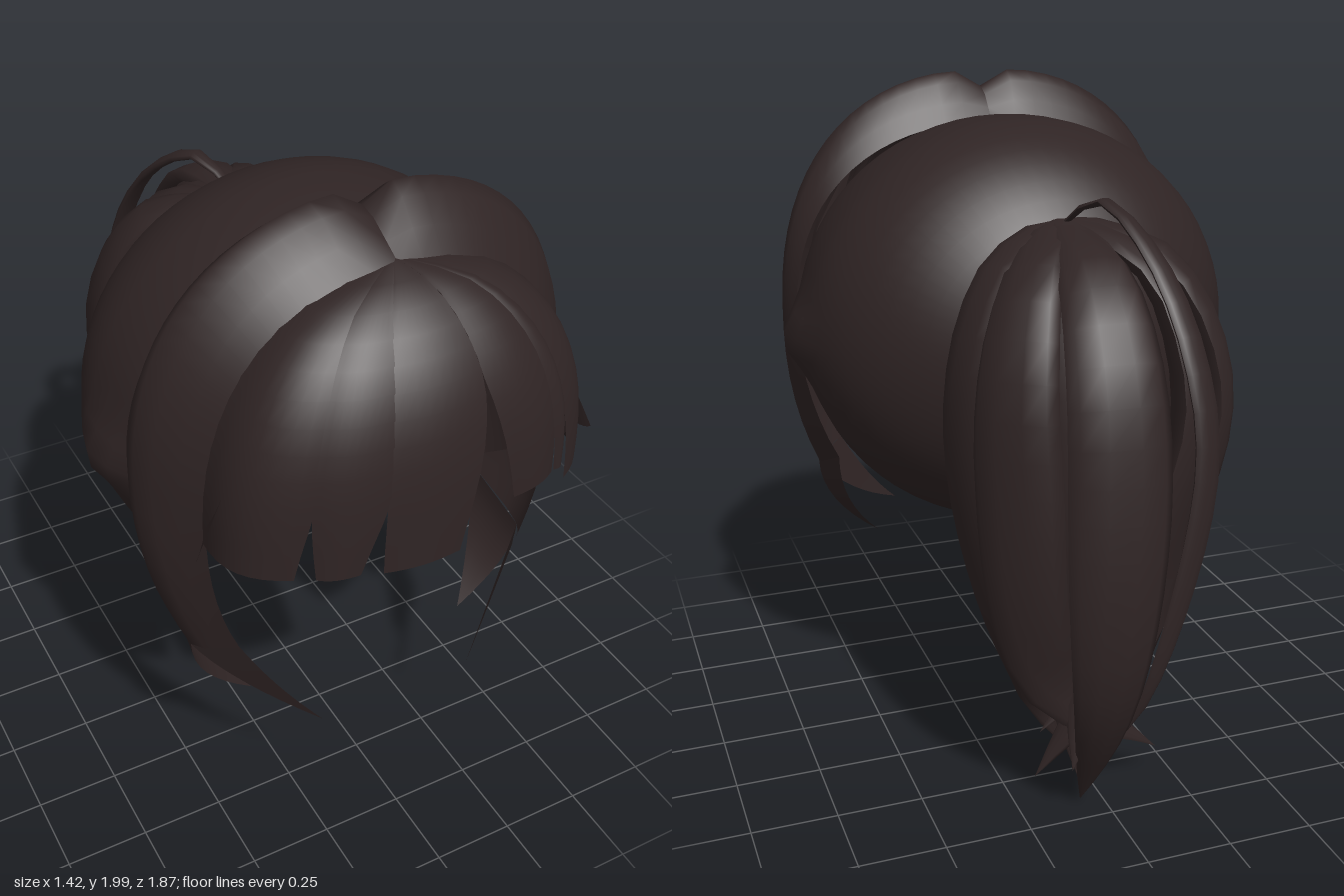
import * as THREE from 'three';

const hair = new THREE.MeshStandardMaterial({ color: 0x2f2424, side: THREE.DoubleSide });
hair.name = 'darkBrownHair';

const { lerp, clamp } = THREE.MathUtils;
const V = (x, y, z) => new THREE.Vector3(x, y, z);
const range = (n, f) => Array.from({ length: n + 1 }, (_, i) => f(i / n));

// Skin a grid of points: rows of equal length, each an array of Vector3
function skin(name, rows) {
  const n = rows[0].length, index = [];
  for (let i = 0; i < rows.length - 1; i++)
    for (let j = 0; j < n - 1; j++) {
      const a = i * n + j, b = a + n;
      index.push(a, b, a + 1, b, b + 1, a + 1);
    }
  const g = new THREE.BufferGeometry().setFromPoints(rows.flat());
  g.setIndex(index);
  g.computeVertexNormals();
  const mesh = new THREE.Mesh(g, hair);
  mesh.name = name;
  return mesh;
}

// Egg-shaped shell, open at the face and cut along a sloping hem
function cap() {
  const at = (th, ph) => {
    const c = Math.cos(th), s = Math.sin(th);
    const p = V(0.66 * s * Math.cos(ph), 1.265 + 0.628 * s * Math.sin(ph), 0.1 - c * (c > 0 ? 0.53 : 0.83));
    // Small point over each ear
    p.x += Math.sign(p.x) * 0.06 * Math.exp(-((p.y - 1.24) ** 2) / 0.008 - ((p.z - 0.21) ** 2) / 0.02);
    return p;
  };
  const inside = (p) => p.z < 0.45 && p.y > 0.64 + 0.78 * (p.z + 0.02);
  return skin('cap', range(64, (u) => {
    const ph = (u - 0.25) * Math.PI * 2;
    let lo = 0.3, hi = 3;
    for (let k = 0; k < 25; k++) {
      const mid = (lo + hi) / 2;
      if (inside(at(mid, ph))) lo = mid; else hi = mid;
    }
    return range(18, (v) => at(lo * v, ph));
  }));
}

// Point on an arch from the parting (a = 0) past the temple (a = PI / 2) and down the cheek
function archPoint({ x, y, up, down, z, drift, notch }, a) {
  const s = Math.sin(a), c = Math.cos(a);
  const px = x * (c > 0 ? s ** 0.85 : s);
  return V(px, c > 0 ? y + up * c ** 0.85 - notch * Math.exp(-((px / 0.05) ** 2)) : y + down * c,
    z - drift * Math.min(c, 0));
}
const REAR = { x: 0.645, y: 1.25, up: 0.605, down: 0.8, z: 0.31, drift: -0.09, notch: 0 };
const RIDGE = { x: 0.67, y: 1.25, up: 0.755, down: 0.96, z: 0.415, drift: 0.14, notch: 0.055 };
const FRONT = { x: 0.55, y: 1.2, up: 0.67, down: 0.8, z: 0.6, drift: 0, notch: 0 };
const SPLIT = Math.PI * 0.683;

// Fringe lock: a sector of the brow dome, filling the front arch and narrowing below the notch height
function fringeLock(x0, x1, tip0, tip1, yTip, yNotch) {
  const angle = (x) => Math.asin(clamp(x / FRONT.x, -1, 1));
  return skin('fringeLock', range(12, (t) => {
    const y = lerp(1.88, yTip, t ** 1.4);
    const c = clamp((y - FRONT.y) / FRONT.up, 0, 1) ** (1 / 0.85);
    const w = 0.01 + FRONT.x * (1 - c * c) ** 0.425;
    const h = clamp((y - 1.3) / 0.58, 0, 1);
    const reach = 0.02 + 0.34 * (1 - h ** 2.6) ** 0.6;
    const k = clamp((yNotch - y) / (yNotch - yTip), 0, 1);
    const a0 = lerp(angle(x0), angle(tip0), k), a1 = lerp(angle(x1), angle(tip1), k);
    return range(8, (s) => {
      const a = lerp(a0, a1, s), r = 0.99 + 0.02 * Math.sin(Math.PI * s);
      return V(w * r * Math.sin(a), y, 0.56 + reach * r * Math.max(0, Math.cos(a)) ** 0.7);
    });
  }));
}

// Pointed lock continuing from the line a-b to a tip, bowed outward and tapering late
function sideLock(name, a, b, tip, bow) {
  const middle = a.clone().lerp(b, 0.5);
  return skin(name, range(8, (t) => range(4, (s) => {
    const offset = a.clone().lerp(b, s).sub(middle).multiplyScalar(1 - t ** 1.6);
    return middle.clone().lerp(tip, t).add(offset).addScaledVector(bow, 4 * t * (1 - t));
  })));
}

// Hair of the model's left side: a ridged sweep that splits into two locks
function sideHair() {
  const side = new THREE.Group();
  side.add(skin('sideSweep', range(24, (t) => {
    const [rear, ridge, front] = [REAR, RIDGE, FRONT].map((e) => archPoint(e, t * SPLIT));
    return new THREE.CatmullRomCurve3([rear, ridge, front]).getPoints(6);
  })));
  const [rear, ridge, front] = [REAR, RIDGE, FRONT].map((e) => archPoint(e, SPLIT));
  side.add(sideLock('rearSideLock', rear, ridge, V(0.37, 0.45, 0.48), V(0.045, 0, -0.02)));
  side.add(sideLock('frontSideLock', ridge, front, V(0.25, 0.47, 0.71), V(0.02, -0.01, -0.02)));
  side.add(sideLock('templeStrand', V(0.53, 1.3, 0.6), V(0.36, 1.74, 0.62), V(0.62, 1.22, 0.69), V(0, 0, 0.01)));
  return side;
}

// Ponytail lock: leaf-shaped, arching from the tie point over a belly and in to a tip
function tailLock(name, width, bellyX, bellyZ, lift, tip) {
  const z = (k) => lerp(-0.31, bellyZ, k);
  const curve = new THREE.CatmullRomCurve3([
    V(0, 1.64, -0.31), V(0.3 * bellyX, 1.62 + lift, z(0.22)), V(0.65 * bellyX, 1.56 + 0.5 * lift, z(0.6)),
    V(0.92 * bellyX, 1.38, z(0.88)), V(bellyX, 1.08, bellyZ), V(0.5 * bellyX + 0.05, 0.47, bellyZ), tip,
  ]);
  return skin(name, range(20, (t) => {
    const p = curve.getPointAt(t), T = curve.getTangentAt(t);
    const out = V(p.x, 0.25, Math.min(p.z + 0.45, -0.1));
    const W = new THREE.Vector3().crossVectors(T, out).normalize();
    const N = new THREE.Vector3().crossVectors(W, T);
    const r = width * Math.max(0, Math.sin(Math.PI * (0.1 + 0.9 * t))) ** 0.9;
    return range(10, (u) => p.clone()
      .addScaledVector(W, Math.cos(u * Math.PI * 2) * r)
      .addScaledVector(N, Math.sin(u * Math.PI * 2) * r * 0.4));
  }));
}

export function createModel() {
  const model = new THREE.Group();
  model.name = 'hair';
  model.add(cap());

  // Fringe: top x range, tip x range, tip height, notch height
  const fringe = new THREE.Group();
  fringe.name = 'fringe';
  fringe.add(
    fringeLock(-0.55, -0.37, -0.55, -0.41, 1.18, 1.4),
    fringeLock(-0.38, -0.18, -0.36, -0.25, 1.18, 1.4),
    fringeLock(-0.19, 0.125, -0.19, 0.03, 1.17, 1.65),
    fringeLock(0.125, 0.36, 0.2, 0.35, 1.27, 1.65),
    fringeLock(0.35, 0.41, 0.36, 0.39, 1.27, 1.45),
    fringeLock(0.4, 0.55, 0.43, 0.55, 1.19, 1.5),
  );
  model.add(fringe);

  // Side hair, mirrored
  for (const s of [1, -1]) {
    const side = sideHair();
    side.name = s > 0 ? 'leftSideHair' : 'rightSideHair';
    side.scale.x = s;
    model.add(side);
  }

  // Ponytail: width, belly x and z, lift at the tie, tip
  const tail = new THREE.Group();
  tail.name = 'ponytail';
  tail.add(
    tailLock('backLock', 0.14, 0.05, -0.87, 0, V(0.07, 0.02, -0.67)),
    tailLock('leftBackLock', 0.13, 0.27, -0.7, 0, V(-0.2, 0.1, -0.6)),
    tailLock('leftLock', 0.12, 0.34, -0.53, 0, V(0.02, 0.03, -0.42)),
    tailLock('rightBackLock', 0.14, -0.27, -0.61, 0, V(0.17, 0.05, -0.56)),
    tailLock('rightLock', 0.14, -0.38, -0.52, 0, V(0.14, 0.17, -0.52)),
    tailLock('innerLock', 0.14, 0, -0.5, 0, V(0.03, 0.01, -0.56)),
    tailLock('coreLock', 0.16, 0.02, -0.71, 0, V(0.13, 0.18, -0.76)),
    tailLock('loopStrand', 0.045, -0.19, -0.88, 0.11, V(0.04, 0.25, -0.8)),
  );
  model.add(tail);

  return model;
}
